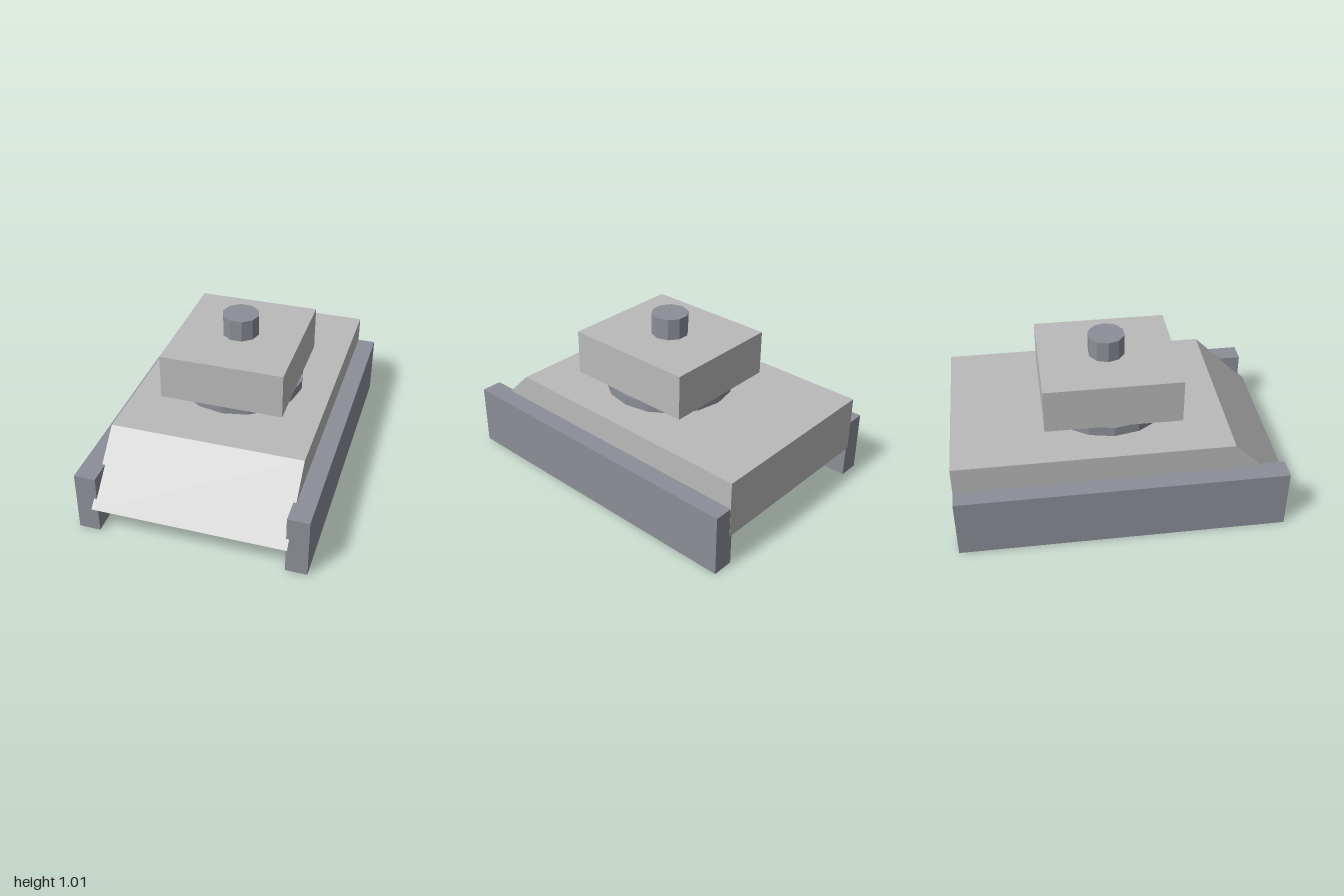
import * as THREE from 'three';

export function createModel() {
  const model = new THREE.Group();
  const lightGrey = new THREE.MeshStandardMaterial({ color: 0xbababb });
  lightGrey.name = 'lightGrey';
  const steelGrey = new THREE.MeshStandardMaterial({ color: 0x8b8f97 });
  steelGrey.name = 'steelGrey';

  function add(name, geometry, material, x, y, z) {
    const mesh = new THREE.Mesh(geometry, material);
    mesh.name = name;
    mesh.position.set(x, y, z);
    model.add(mesh);
    return mesh;
  }

  // Upright prism with a corner on each side (+x and -x)
  function prism(radius, height, sides) {
    const g = new THREE.CylinderGeometry(radius, radius, height, sides).rotateY(Math.PI / 2).toNonIndexed();
    g.computeVertexNormals();
    return g;
  }

  // Hull: side profile with a sloped nose, extruded across the width
  const hullWidth = 1.15;
  const profile = new THREE.Shape([
    new THREE.Vector2(-1, 0.19),
    new THREE.Vector2(1, 0.19),
    new THREE.Vector2(0.645, 0.54),
    new THREE.Vector2(-1, 0.54),
  ]);
  const hull = new THREE.ExtrudeGeometry(profile, { depth: hullWidth, bevelEnabled: false });
  hull.translate(0, 0, -hullWidth / 2).rotateY(-Math.PI / 2);
  add('hull', hull, lightGrey, 0, 0, 0);

  // Side tracks, overlapping the hull edges
  for (const side of [1, -1]) {
    add(side > 0 ? 'leftTrack' : 'rightTrack',
      new THREE.BoxGeometry(0.128, 0.375, 1.954), steelGrey, side * 0.622, 0.1875, -0.022);
  }

  // Turret stack: ring, square body and hatch
  const turretZ = -0.041;
  add('turretRing', prism(0.39, 0.06, 16), steelGrey, 0, 0.57, turretZ);
  add('turret', new THREE.BoxGeometry(0.742, 0.276, 0.818), lightGrey, 0, 0.738, turretZ);
  add('hatch', prism(0.112, 0.132, 10), steelGrey, 0, 0.941, turretZ);

  return model;
}
